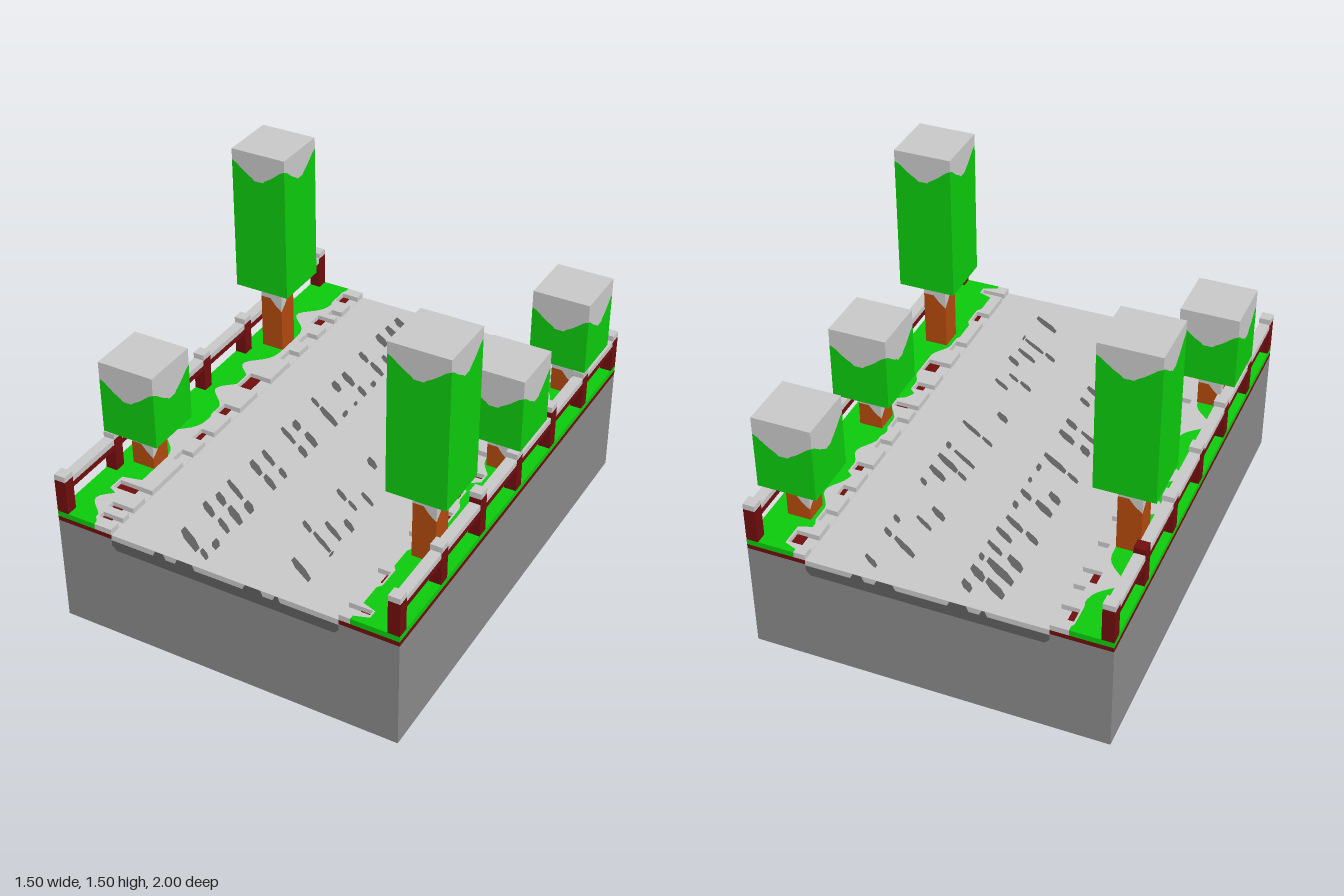
import * as THREE from 'three';
import { mergeGeometries } from 'three/addons/utils/BufferGeometryUtils.js';

const mat = (name, color) => {
  const m = new THREE.MeshStandardMaterial({ color });
  m.name = name;
  return m;
};

export function createModel() {
  const stone = mat('stone grey', 0x8a8a8a);
  const asphalt = mat('asphalt', 0x606060);
  const snow = mat('snow', 0xc9c9c9);
  const leaf = mat('leaf green', 0x0dcb0d);
  const soil = mat('dark red brown', 0x700d0d);
  const bark = mat('bark', 0xb34a0d);

  const model = new THREE.Group();
  model.name = 'snowyRoad';

  const add = (parent, name, geo, material) => {
    const mesh = new THREE.Mesh(geo, material);
    mesh.name = name;
    parent.add(mesh);
    return mesh;
  };
  const group = (parent, name) => {
    const g = new THREE.Group();
    g.name = name;
    parent.add(g);
    return g;
  };
  const box = (parent, name, material, x0, x1, y0, y1, z0, z1) =>
    add(parent, name, new THREE.BoxGeometry(Math.abs(x1 - x0), y1 - y0, z1 - z0), material)
      .position.set((x0 + x1) / 2, (y0 + y1) / 2, (z0 + z1) / 2);
  const polygon = (pts) => new THREE.Shape(pts.map(([x, y]) => new THREE.Vector2(x, y)));
  const extrude = (pts, depth) =>
    new THREE.ExtrudeGeometry(polygon(pts), { depth, bevelEnabled: false });

  // Stone block with a trench, filled with asphalt and covered by snow
  const trench = [[0.5, 0.475], [0.5, 0.45], [0.48, 0.43], [-0.48, 0.43], [-0.5, 0.45], [-0.5, 0.475]];
  add(model, 'base', extrude([[-0.75, 0], [0.75, 0], [0.75, 0.48], [0.5, 0.48], ...trench,
    [-0.5, 0.48], [-0.75, 0.48]], 2).translate(0, 0, -1), stone);
  add(model, 'road', extrude(trench, 2).translate(0, 0, -1), asphalt);
  box(model, 'roadSnow', snow, -0.5, 0.5, 0.475, 0.5, -1, 1);

  // Bare gaps in the snow at both road ends
  for (const [a, b] of [[-0.31, -0.25], [-0.21, -0.12], [0.09, 0.18], [0.22, 0.255]]) {
    const gap = new THREE.ShapeGeometry(polygon([[a, 0.474], [b, 0.474], [b - 0.012, 0.5], [a + 0.012, 0.5]]));
    add(model, 'roadEndGap', gap, asphalt).position.z = 1.001;
    const back = add(model, 'roadEndGap', gap, asphalt);
    back.rotation.y = Math.PI;
    back.position.z = -1.001;
  }

  // Broken diagonal tyre marks
  let seed = 7;
  const rand = () => (seed = (seed * 16807) % 2147483647) / 2147483647;
  const marks = [];
  const slope = 0.58;
  for (const [x0, fill, thick] of [[-0.3, 0.85, 0.036], [0.1, 0.62, 0.03]]) {
    for (let z = -1.1; z < 1; z += 0.083) {
      let u = rand() * 0.03;
      while (u < 0.19) {
        const end = Math.min(0.2, u + 0.05 + rand() * 0.1);
        const t = thick * (0.7 + rand() * 0.5);
        const a = z + u * slope, b = z + end * slope;
        if (rand() < fill && a > -0.995 && b + t < 0.995) {
          const at = (k, drop) => [x0 + u + (end - u) * k, -(a + (b - a) * k + drop)];
          marks.push(polygon([at(0, 0), at(0, t * 0.7), at(0.3, t), at(1, t), at(1, t * 0.3), at(0.6, 0)]));
        }
        u = end + 0.005 + rand() * 0.03;
      }
    }
  }
  add(model, 'tyreMarks', new THREE.ShapeGeometry(marks).rotateX(-Math.PI / 2).translate(0, 0.502, 0), asphalt);

  // Verge: notches are [z, width, outer edge]; the grass swells towards the road except at the humps of snow
  const addVerge = (s, notches, low, rise, humps) => {
    const verge = group(model, s > 0 ? 'leftVerge' : 'rightVerge');
    const slab = (name, pts, material) => add(verge, name,
      extrude(pts.map(([z, x]) => [s * x, -z]), 0.025).rotateX(-Math.PI / 2).translate(0, 0.5, 0), material);
    const border = [];
    for (let i = -50; i <= 50; i++) {
      const z = i / 50;
      let x = low;
      for (const h of humps) x = Math.max(x, low + rise * Math.exp(-(((z - h) / 0.07) ** 2)));
      for (const [c, w, e] of notches) if (Math.abs(z - c) < w / 2 + 0.022) x = Math.max(x, e + 0.008);
      border.push([z, x]);
    }
    const teeth = [[-1, 0.5]];
    for (const [c, w, e] of notches) {
      const a = c - w / 2, b = c + w / 2;
      teeth.push([a, 0.5], [a, e], [b, e], [b, 0.5]);
      if (e > 0.55) box(verge, 'bareSoil', soil, s * (0.53 + (e - 0.53) * 0.3), s * e, 0.5, 0.505, a, b);
    }
    teeth.push([1, 0.5]);
    box(verge, 'soilLayer', soil, s * 0.5, s * 0.75, 0.48, 0.5, -1, 1);
    box(verge, 'snowFloor', snow, s * 0.5, s * 0.66, 0.499, 0.502, -0.96, 0.96);
    slab('grass', [...border, [1, 0.75], [-1, 0.75]], leaf);
    slab('snowBank', [...teeth, ...border.reverse()], snow);
  };
  addVerge(-1, [[-0.915, 0.07, 0.575], [-0.78, 0.04, 0.55], [-0.695, 0.07, 0.58], [-0.54, 0.08, 0.55],
    [-0.38, 0.08, 0.55], [-0.125, 0.11, 0.6], [0.105, 0.07, 0.575], [0.305, 0.07, 0.56],
    [0.465, 0.07, 0.55], [0.745, 0.05, 0.65], [0.865, 0.03, 0.595], [0.935, 0.03, 0.59]],
  0.575, 0.095, [-0.69, -0.23, -0.01, 0.36, 0.86]);
  addVerge(1, [[-0.915, 0.07, 0.595], [-0.76, 0.07, 0.55], [-0.595, 0.06, 0.555], [-0.435, 0.05, 0.57],
    [-0.27, 0.06, 0.55], [-0.115, 0.07, 0.55], [0.005, 0.03, 0.6], [0.155, 0.05, 0.575],
    [0.31, 0.08, 0.6], [0.485, 0.07, 0.55], [0.735, 0.07, 0.555], [0.935, 0.025, 0.6]],
  0.548, 0.06, [-0.62, -0.35, 0, 0.24, 0.38]);

  // Fences with snow on the rail and on the posts
  for (const s of [-1, 1]) {
    const fence = group(model, s > 0 ? 'leftFence' : 'rightFence');
    box(fence, 'rail', soil, s * 0.702, s * 0.748, 0.625, 0.65, -0.99, 0.99);
    box(fence, 'railSnow', snow, s * 0.702, s * 0.748, 0.65, 0.675, -0.99, 0.99);
    for (let i = -3; i <= 3; i++) {
      const z = i * 0.325;
      const top = s > 0 && Math.abs(i) === 1 ? 0.7 : 0.675;
      const capMat = s < 0 && i === -2 ? soil : snow;
      box(fence, 'post', soil, s * 0.7, s * 0.75, 0.525, top, z - 0.025, z + 0.025);
      box(fence, 'postCap', capMat, s * 0.7, s * 0.75, top, top + 0.025, z - 0.025, z + 0.025);
    }
  }

  // Square block whose four sides change colour along a profile of [u, height]
  const snowyBlock = (parent, name, w, h, profile, lowMat) => {
    const r = w / 2;
    const low = [new THREE.PlaneGeometry(w, w).rotateX(Math.PI / 2)];
    const high = [new THREE.PlaneGeometry(w, w).rotateX(-Math.PI / 2).translate(0, h, 0)];
    for (let i = 0; i < 4; i++) {
      const p = i % 2 ? profile.map(([u, y]) => [-u, y]).reverse() : profile;
      const face = (pts) => new THREE.ShapeGeometry(polygon(pts)).translate(0, 0, r).rotateY(i * Math.PI / 2);
      low.push(face([[-r, 0], [r, 0], ...p.slice().reverse()]));
      high.push(face([...p, [r, h], [-r, h]]));
    }
    const block = group(parent, name);
    add(block, name + 'Body', mergeGeometries(low), lowMat);
    add(block, name + 'Snow', mergeGeometries(high), snow);
    return block;
  };

  // Trees, with the snow line on the crown dipping in the middle of each side
  const halfDip = [[0.02, 0.125], [0.03, 0.115], [0.055, 0.1], [0.075, 0.085], [0.105, 0.06], [0.125, 0.05]];
  const dip = [...halfDip.map(([u, d]) => [-u, d]).reverse(), ...halfDip];
  const addTree = (x, z, tall) => {
    const tree = group(model, tall ? 'tallTree' : 'shortTree');
    tree.position.set(x, 0.525, z);
    const [trunkH, crownH, edge, shift] = tall ? [0.325, 0.65, 0.25, 0] : [0.175, 0.325, 0.105, 0.027];
    snowyBlock(tree, 'trunk', 0.1, trunkH,
      [[-0.05, edge], [-0.005, edge], [0.02, edge - 0.03], [0.05, edge - 0.055]], bark);
    snowyBlock(tree, 'crown', 0.25, crownH, dip.map(([u, d]) => [u, crownH - d - shift]), leaf)
      .position.y = trunkH;
  };
  addTree(-0.625, -0.455, true);
  addTree(-0.625, 0.545, false);
  addTree(0.625, -0.755, false);
  addTree(0.625, -0.125, false);
  addTree(0.625, 0.525, true);
  return model;
}
